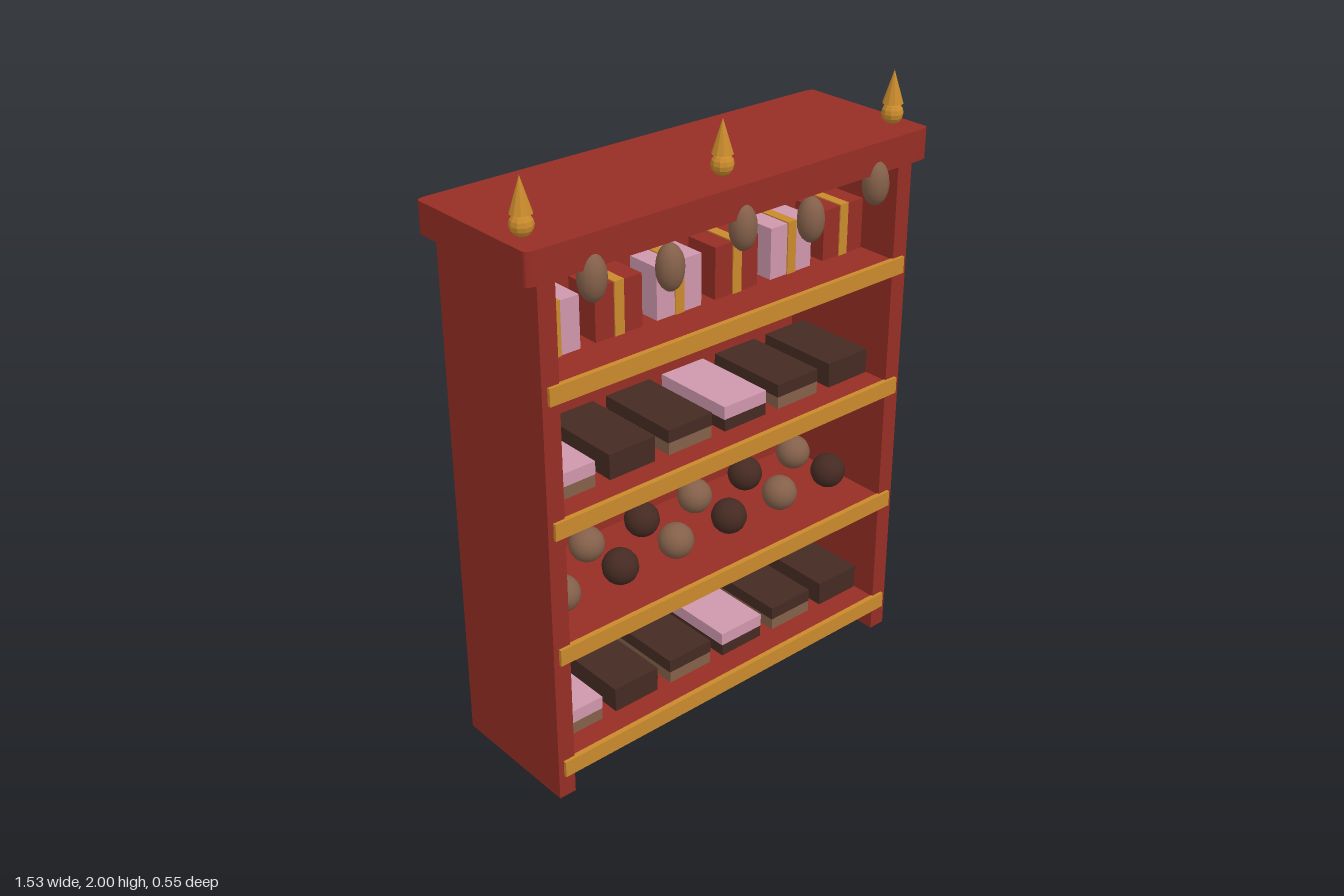
import * as THREE from 'three';

const mat = (name, color) => {
  const m = new THREE.MeshStandardMaterial({ color });
  m.name = name;
  return m;
};

export function createModel() {
  const root = new THREE.Group();
  root.name = 'displayCabinet';
  const red = mat('redWood', 0x962d24);
  const gold = mat('gold', 0xc98a2c);
  const pink = mat('pinkIcing', 0xcf97ac);
  const dark = mat('darkChocolate', 0x452a22);
  const brown = mat('milkChocolate', 0x84604a);

  const add = (name, geo, material, x, y, z) => {
    const m = new THREE.Mesh(geo, material);
    m.name = name;
    m.position.set(x, y, z);
    root.add(m);
    return m;
  };
  // box given by its centre in x and z and its bottom and top in y
  const box = (name, material, w, y0, y1, d, x, z) =>
    add(name, new THREE.BoxGeometry(w, y1 - y0, d), material, x, (y0 + y1) / 2, z);
  const faceted = (geo) => {
    const g = geo.toNonIndexed();
    g.computeVertexNormals();
    return g;
  };

  // case
  for (const s of [-1, 1]) box('sidePanel', red, 0.06, 0, 1.74, 0.472, s * 0.689, -0.018);
  box('backPanel', red, 1.32, 0, 1.74, 0.03, 0, -0.239);

  // crown slab with softened plan corners
  const [cw, z0, z1, rx, rz] = [0.764, -0.274, 0.24, 0.04, 0.016];
  const plan = new THREE.Shape();
  plan.moveTo(-cw + rx, -z1);
  plan.lineTo(cw - rx, -z1);
  plan.quadraticCurveTo(cw, -z1, cw, -z1 + rz);
  plan.lineTo(cw, -z0 - rz);
  plan.quadraticCurveTo(cw, -z0, cw - rx, -z0);
  plan.lineTo(-cw + rx, -z0);
  plan.quadraticCurveTo(-cw, -z0, -cw, -z0 - rz);
  plan.lineTo(-cw, -z1 + rz);
  plan.quadraticCurveTo(-cw, -z1, -cw + rx, -z1);
  const crownGeo = new THREE.ExtrudeGeometry(plan, { depth: 0.1, bevelEnabled: false, curveSegments: 4 });
  crownGeo.rotateX(-Math.PI / 2);
  add('crown', crownGeo, red, 0, 1.73, 0);

  // shelves with gold front trims
  const tops = [0.136, 0.552, 0.986, 1.415];
  for (const y of tops) {
    box('shelf', red, 1.32, y - 0.066, y - 0.003, 0.44, 0, -0.006);
    box('shelfTrim', gold, 1.4, y - 0.056, y, 0.018, 0, 0.22);
  }

  // goods, six to a shelf
  const ball = new THREE.SphereGeometry(0.059, 16, 12);
  for (let i = 0; i < 6; i++) {
    const x = (i - 2.5) * 0.227 + 0.002;
    const odd = i % 2 === 1;

    // layered cakes
    for (const y of [tops[0], tops[2]]) {
      box('cakeBase', odd ? dark : brown, 0.172, y - 0.003, y + 0.038, 0.3, x, -0.02);
      box('cakeTop', i % 3 === 0 ? pink : dark, 0.175, y + 0.038, y + 0.082, 0.3, x, -0.02);
    }

    // chocolate balls in two rows
    add('frontBall', ball, odd ? dark : brown, x, tops[1] + 0.059, 0.06);
    add('backBall', ball, odd ? brown : dark, x, tops[1] + 0.059, -0.11);

    // gift boxes with a ribbon band
    box('giftBox', odd ? red : pink, 0.172, tops[3] - 0.003, 1.58, 0.12, x, 0.02);
    box('ribbon', gold, 0.035, tops[3] - 0.003, 1.584, 0.128, x, 0.02);
  }

  // hanging ornaments below the crown
  const egg = new THREE.SphereGeometry(1, 12, 10);
  for (let i = 0; i < 5; i++) {
    add('ornament', egg, brown, (i - 2) * 0.273, i % 2 ? 1.652 : 1.699, 0.23).scale.set(0.043, 0.072, 0.043);
  }

  // finials
  const knob = faceted(new THREE.SphereGeometry(0.035, 10, 8));
  const spike = faceted(new THREE.ConeGeometry(0.033, 0.105, 10));
  for (const x of [-0.703, 0, 0.703]) {
    add('finialKnob', knob, gold, x, 1.864, 0.14);
    add('finialSpike', spike, gold, x, 1.9475, 0.14);
  }
  return root;
}
